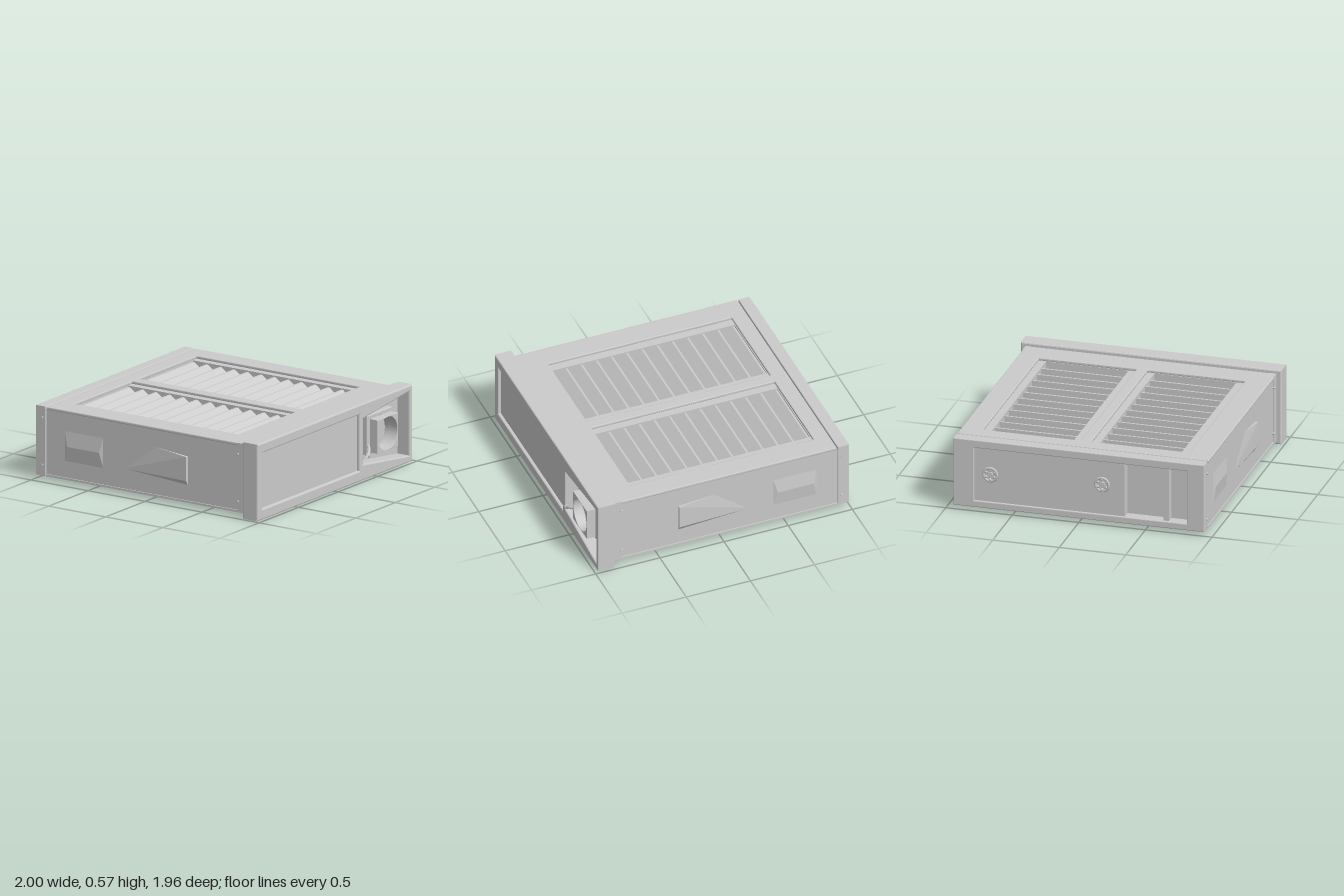
import * as THREE from 'three';

const material = new THREE.MeshStandardMaterial({ color: 0xcccccc, side: THREE.DoubleSide });

function add(group, name, geometry, x = 0, y = 0, z = 0) {
  const mesh = new THREE.Mesh(geometry, material);
  mesh.name = name;
  mesh.position.set(x, y, z);
  group.add(mesh);
  return mesh;
}

// Box given by its minimum and maximum corners
function block(group, name, a, b) {
  const g = new THREE.BoxGeometry(b[0] - a[0], b[1] - a[1], b[2] - a[2]);
  return add(group, name, g, (a[0] + b[0]) / 2, (a[1] + b[1]) / 2, (a[2] + b[2]) / 2);
}

const rect = (x0, y0, x1, y1) => [[x0, y0], [x1, y0], [x1, y1], [x0, y1]];
const outline = (points) => points.map((p) => new THREE.Vector2(...p));

// Plate with holes; its thickness includes the bevels
function plate(points, holes, thickness, bevel = 0) {
  const shape = points instanceof THREE.Shape ? points : new THREE.Shape(outline(points));
  holes.forEach((h) => shape.holes.push(h instanceof THREE.Path ? h : new THREE.Path(outline(h))));
  const g = new THREE.ExtrudeGeometry(shape, {
    depth: thickness - 2 * bevel, bevelEnabled: bevel > 0, bevelThickness: bevel,
    bevelSize: bevel, bevelOffset: -bevel, bevelSegments: 2, curveSegments: 32,
  });
  return g.translate(0, 0, bevel);
}

// Plates turned to face +x (u = -z), -x (u = z) and +y (v = -z)
const faceRight = (g) => g.rotateY(Math.PI / 2);
const faceLeft = (g) => g.rotateY(-Math.PI / 2);
const faceUp = (g) => g.rotateX(-Math.PI / 2);

function polygonMesh(corners, triangles) {
  const g = new THREE.BufferGeometry();
  g.setAttribute('position', new THREE.Float32BufferAttribute(triangles.flatMap((i) => corners[i]), 3));
  g.computeVertexNormals();
  return g;
}

function createHousing() {
  const g = new THREE.Group();
  g.name = 'housing';
  block(g, 'lowerBody', [-0.91, 0.03, -0.935], [0.84, 0.4, 0.935]);
  block(g, 'basePlate', [-0.91, 0.03, -0.943], [0.84, 0.045, 0.943]);

  // Upper body and lid, both open at the two vents (v = -z)
  const wells = [rect(-0.78, 0.11, 0.64, 0.73), rect(-0.78, -0.7, 0.64, -0.085)];
  const openings = [rect(-0.785, 0.05, 0.645, 0.785), rect(-0.785, -0.765, 0.645, -0.03)];
  add(g, 'upperBody', faceUp(plate(rect(-0.91, -0.935, 0.84, 0.935), wells, 0.13)), 0, 0.4, 0);
  add(g, 'lid', faceUp(plate(rect(-0.9, -0.943, 0.84, 0.943), openings, 0.022, 0.006)), 0, 0.528, 0);

  // Louvres: each blade is high on the -x side and drops towards +x
  const count = 12, pitch = 1.42 / count;
  const profile = [[-0.78, 0.4]];
  for (let i = 0; i < count; i++) {
    const x = -0.78 + i * pitch;
    profile.push([x, 0.52], [x + 0.015, 0.52], [x + pitch, 0.445]);
  }
  profile.push([0.64, 0.4]);
  for (const [z0, z1] of [[-0.73, -0.11], [0.085, 0.7]]) {
    add(g, 'louvres', plate(profile, [], z1 - z0), 0, 0, z0);
  }
  return g;
}

// Side wall parts for the +z side; mirrored for the other
function createSide(sign) {
  const g = new THREE.Group();
  g.name = sign > 0 ? 'frontSide' : 'backSide';
  block(g, 'cornerStrip', [0.77, 0.03, 0.9], [0.84, 0.55, 0.943]);

  // Wedge-shaped scoop growing out of the wall
  const h = 0.957, w = 0.934;
  const scoop = [[-0.23, 0.195, w], [0.33, 0.195, h], [0.33, 0.375, h],
    [0.04, 0.4, w], [0.33, 0.16, w], [0.33, 0.375, w]];
  add(g, 'scoop', polygonMesh(scoop, [0, 1, 2, 0, 2, 3, 0, 4, 1, 4, 5, 2, 4, 2, 1, 3, 2, 5]));

  // Shallow raised pad
  const pad = [[-0.75, 0.16, w], [-0.41, 0.16, w], [-0.41, 0.4, w], [-0.75, 0.4, w], [-0.72, 0.28, 0.948], [-0.44, 0.28, 0.948]];
  add(g, 'pad', polygonMesh(pad, [0, 1, 5, 0, 5, 4, 1, 2, 5, 2, 3, 4, 2, 4, 5, 3, 0, 4]));

  for (const x of [-0.94, 0.775]) {
    for (const y of [0.11, 0.465]) {
      const screw = new THREE.CylinderGeometry(0.008, 0.011, 0.02, 12).rotateX(Math.PI / 2);
      add(g, 'screw', screw, x, y, 0.942);
    }
  }
  g.scale.z = sign;
  return g;
}

function createRearEnd() {
  const g = new THREE.Group();
  g.name = 'rearEnd';
  const frame = plate(rect(-0.943, 0.03, 0.943, 0.55), [rect(-0.79, 0.08, 0.81, 0.49)], 0.09, 0.006);
  add(g, 'rearFrame', faceLeft(frame), -0.91, 0, 0);
  block(g, 'rearPanel', [-0.985, 0.08, -0.79], [-0.9, 0.49, 0.34]);
  block(g, 'pocketDivider', [-0.98, 0.08, 0.63], [-0.9, 0.49, 0.67]);

  // Round connectors with a ring of pins
  for (const [y, z] of [[0.29, -0.67], [0.31, 0.17]]) {
    const c = new THREE.Group();
    c.name = 'connector';
    c.position.set(-0.985, y, z);
    add(c, 'collar', new THREE.TorusGeometry(0.05, 0.01, 8, 24).rotateY(Math.PI / 2), -0.002);
    add(c, 'core', new THREE.CylinderGeometry(0.025, 0.025, 0.02, 6).rotateZ(Math.PI / 2), -0.005);
    for (let i = 0; i < 6; i++) {
      const a = i * Math.PI / 3;
      add(c, 'pin', new THREE.SphereGeometry(0.011, 8, 6), -0.003, 0.037 * Math.cos(a), 0.037 * Math.sin(a));
    }
    g.add(c);
  }
  return g;
}

function createFaceplate() {
  const g = new THREE.Group();
  g.name = 'faceplate';
  const bay = [[0.355, 0.12], [0.94, 0.05], [0.94, 0.53], [0.355, 0.46]];
  const rim = plate(rect(-0.98, 0, 0.98, 0.575), [rect(-0.92, 0.08, 0.31, 0.5), bay], 0.135, 0.01);
  add(g, 'rim', faceRight(rim), 0.84, 0, 0);
  block(g, 'mainPanel', [0.84, 0.08, -0.31], [0.95, 0.5, 0.92]);
  add(g, 'bayFloor', faceRight(plate(bay, [], 0.03)), 0.84, 0, 0);

  // Square socket: base flange and raised block around a round bore
  const bore = () => new THREE.Path().absarc(0.655, 0.285, 0.123, 0, Math.PI * 2, true);
  add(g, 'socketFlange', faceRight(plate(rect(0.49, 0.145, 0.805, 0.44), [bore()], 0.05, 0.006)), 0.865, 0, 0);
  add(g, 'socketBlock', faceRight(plate(rect(0.525, 0.16, 0.785, 0.41), [bore()], 0.07, 0.003)), 0.912, 0, 0);

  // Curved lever beside the socket
  const path = new THREE.CatmullRomCurve3([
    new THREE.Vector3(0.89, 0.215, -0.53), new THREE.Vector3(0.945, 0.205, -0.47),
    new THREE.Vector3(0.98, 0.185, -0.41), new THREE.Vector3(0.985, 0.165, -0.375),
  ]);
  add(g, 'lever', new THREE.TubeGeometry(path, 20, 0.012, 8));
  add(g, 'leverTip', new THREE.SphereGeometry(0.018, 12, 8), 0.982, 0.178, -0.4);
  return g;
}

export function createModel() {
  const model = new THREE.Group();
  model.name = 'ventilatedEquipmentCase';
  model.add(createHousing(), createSide(1), createSide(-1), createRearEnd(), createFaceplate());
  return model;
}
